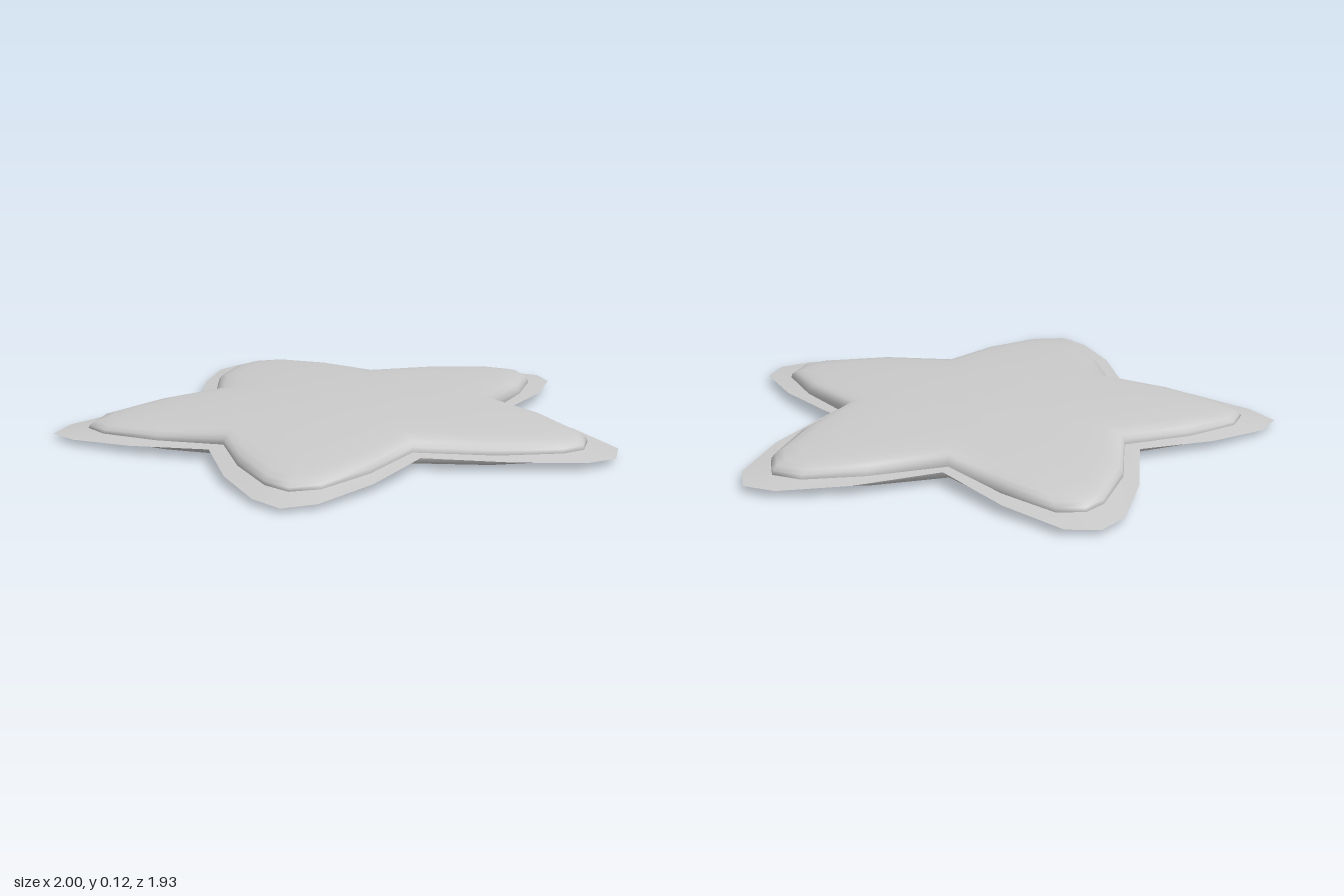
import * as THREE from 'three';

// Half outlines [x, z] from the back tip round the left side to the front notch
const BODY = [[0, -0.855], [0.10, -0.80], [0.22, -0.61], [0.33, -0.345], [0.61, -0.33], [0.83, -0.275],
  [0.885, -0.19], [0.87, -0.10], [0.74, 0.10], [0.53, 0.29], [0.595, 0.55], [0.60, 0.77],
  [0.545, 0.86], [0.44, 0.87], [0.22, 0.80], [0, 0.68]];
const HEM = [[0, -0.97], [0.11, -0.91], [0.25, -0.69], [0.36, -0.39], [0.68, -0.38], [0.93, -0.32],
  [1.0, -0.22], [0.975, -0.10], [0.82, 0.10], [0.59, 0.31], [0.665, 0.60], [0.675, 0.85],
  [0.62, 0.96], [0.49, 0.965], [0.26, 0.89], [0, 0.745]];

const mirror = half => [...half, ...half.slice(1, -1).reverse().map(([x, z]) => [-x, z])];

// Skin closed rings of points, ordered from bottom to top
function loft(rings) {
  const n = rings[0].length, index = [];
  for (let j = 0; j < rings.length - 1; j++) {
    for (let i = 0; i < n; i++) {
      const k = (i + 1) % n;
      const a = j * n + i, b = j * n + k, c = a + n, d = b + n;
      index.push(a, c, b, b, c, d);
    }
  }
  const geometry = new THREE.BufferGeometry();
  geometry.setAttribute('position', new THREE.Float32BufferAttribute(rings.flat(2), 3));
  geometry.setIndex(index);
  geometry.computeVertexNormals();
  return geometry;
}

// The seam and the top both sink gently towards the tips
const seamY = r => 0.07 - 0.035 * r;
const hemY = r => 0.085 - 0.06 * r;
const topY = r => 0.117 - 0.05 * r * r;

export function createModel() {
  const group = new THREE.Group();
  const material = new THREE.MeshStandardMaterial({ color: 0xcccccc });
  const body = mirror(BODY), hem = mirror(HEM);

  // Rings of the cushion: scale, then -1 (flat base) .. 0 (seam) .. 1 (domed top)
  const profile = [[0.001, -1], [0.5, -1], [0.93, -1], [0.965, -0.9], [0.99, -0.5], [1, 0],
    [0.995, 0.35], [0.975, 0.68], [0.935, 0.87], [0.86, 0.96], [0.7, 1], [0.5, 1], [0.25, 1], [0.001, 1]];
  const rings = profile.map(([s, f]) => body.map(([x, z]) => {
    const seam = seamY(Math.hypot(x, z));
    const top = topY(s * Math.hypot(x, z));
    const y = f < 0 ? seam * (1 + f) : seam + (top - seam) * f;
    return [x * s, y, z * s];
  }));
  const cushion = new THREE.Mesh(loft(rings), material);
  cushion.name = 'starCushion';
  group.add(cushion);

  // Thin hem around the seam
  const inner = body.map(([x, z]) => [x * 0.99, seamY(Math.hypot(x, z)), z * 0.99]);
  const outer = hem.map(([x, z]) => [x, hemY(Math.hypot(x, z)), z]);
  const flange = new THREE.Mesh(loft([outer, inner]),
    new THREE.MeshStandardMaterial({ color: 0xcccccc, side: THREE.DoubleSide }));
  flange.name = 'hem';
  group.add(flange);

  return group;
}
